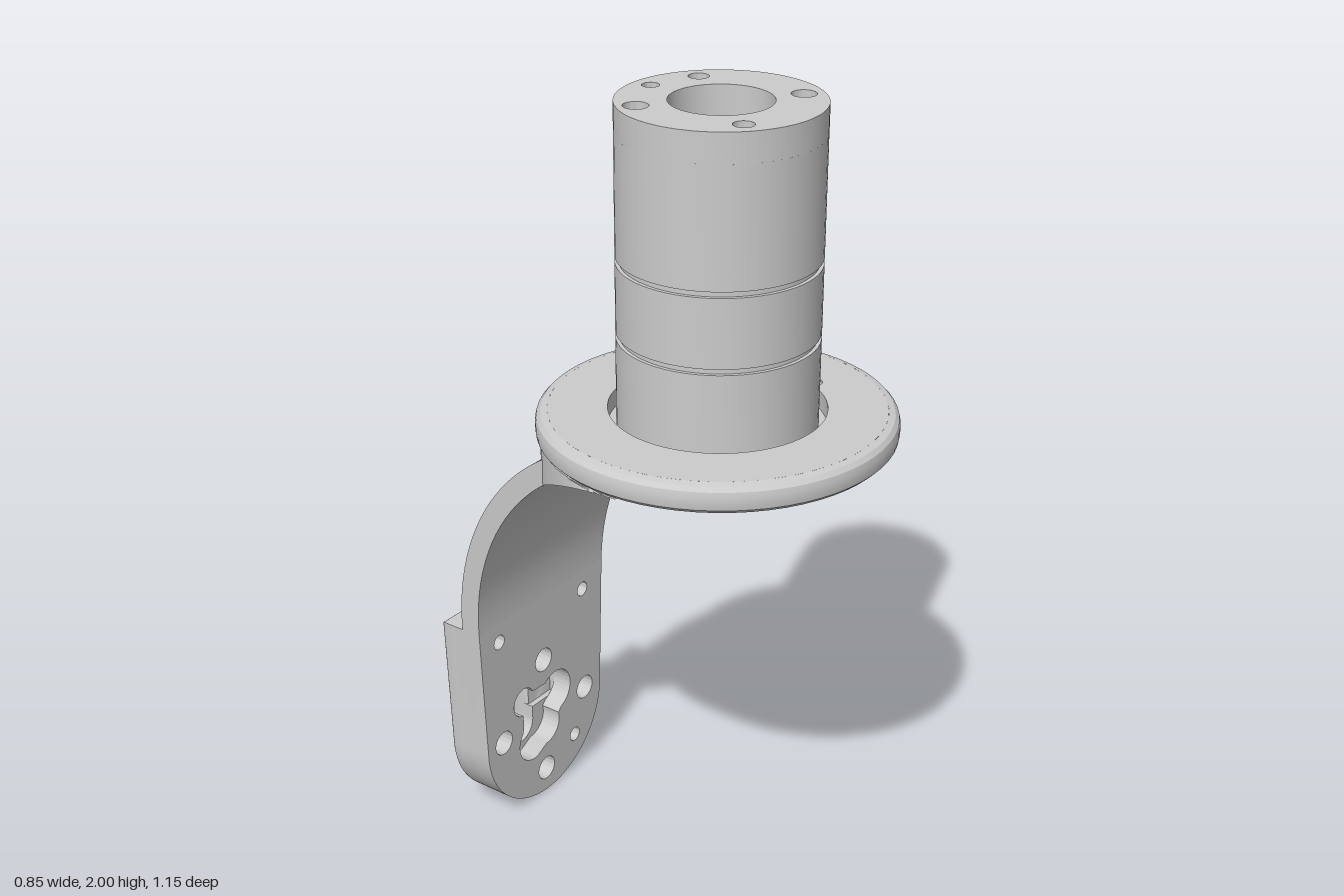
import * as THREE from 'three';
import { toCreasedNormals } from 'three/addons/utils/BufferGeometryUtils.js';
import { ParametricGeometry } from 'three/addons/geometries/ParametricGeometry.js';

const solid = new THREE.MeshStandardMaterial({ color: 0xcccccc });
const sheet = new THREE.MeshStandardMaterial({ color: 0xcccccc, side: THREE.DoubleSide });
const AXIS_Z = 0.15; // axis of post and flange
const CX = -0.025; // centre line of the arm
const TAU = Math.PI * 2;

function add(group, name, geometry, material = solid) {
  const mesh = new THREE.Mesh(toCreasedNormals(geometry, 0.5), material);
  mesh.name = name;
  group.add(mesh);
  return mesh;
}

function circle(x, y, r, Type = THREE.Path) {
  const p = new Type();
  p.absarc(x, y, r, 0, TAU, false);
  return p;
}

function extrude(shape, depth, options = {}) {
  return new THREE.ExtrudeGeometry(shape, { depth, bevelEnabled: false, curveSegments: 28, ...options });
}

// Extrude upwards from height y; the shape's y runs towards -z
function extrudeUp(shape, y, depth, z = 0) {
  return extrude(shape, depth).rotateX(-Math.PI / 2).translate(0, y, z);
}

const lathe = (points) =>
  new THREE.LatheGeometry(points.map(([r, y]) => new THREE.Vector2(r, y)), 64).translate(0, 0, AXIS_Z);

// Screw positions on the post: x, offset towards -z, radius
const postScrews = [[0, 0.19, 0.02], [0.12, 0.145, 0.024], [-0.145, 0.123, 0.029], [-0.12, -0.14, 0.024], [0.143, -0.12, 0.029]];

function buildPost(group) {
  // Tube with two narrow ring grooves
  const R = 0.235, r = 0.118;
  const profile = [[r, 1.225], [R, 1.225]];
  for (const y of [1.46, 1.64]) {
    profile.push([R, y - 0.007], [R - 0.009, y - 0.007], [R - 0.009, y + 0.007], [R, y + 0.007]);
  }
  profile.push([R, 1.93], [r, 1.93], [r, 1.225]);
  add(group, 'post', lathe(profile));

  // Top end with screw holes
  const cap = circle(0, 0, R, THREE.Shape);
  cap.holes.push(circle(0, 0, r), ...postScrews.map((s) => circle(...s)));
  add(group, 'postTop', extrudeUp(cap, 1.93, 0.07, AXIS_Z));
}

function buildFlange(group) {
  const R = 0.395, hx = 0.24, hy = -0.105, a = Math.atan2(hy, hx);
  // Lower layer: bore, screw holes and cable hole
  const lower = circle(0, 0, R, THREE.Shape);
  lower.holes.push(circle(0, 0, 0.113), circle(hx, hy, 0.025), ...postScrews.map(([x, y, r]) => circle(x, y, r * 1.25)));
  add(group, 'flangeBottom', extrudeUp(lower, 1.205, 0.025, AXIS_Z));

  // Upper layer: clearance round the post, widened at the cable hole
  const upper = circle(0, 0, R, THREE.Shape);
  const gap = new THREE.Path();
  gap.absarc(0, 0, 0.255, a + 0.093, a - 0.093 + TAU, false);
  gap.absarc(hx, hy, 0.025, a - 1.9, a + 1.9, false);
  upper.holes.push(gap);
  add(group, 'flangeTop', extrudeUp(upper, 1.23, 0.045, AXIS_Z));

  // Rounded rim
  add(group, 'flangeRim', lathe([[R, 1.205], [0.411, 1.208], [0.421, 1.218], [0.423, 1.23], [0.423, 1.248],
    [0.42, 1.261], [0.411, 1.271], [R, 1.275]]));
}

// Curved arm and the web that joins it to the flange
function buildArm(group) {
  const frontZ = (y) => 0.165 - 0.54 * Math.sqrt(Math.max(0, 1 - ((y - 0.6) / 0.605) ** 2));
  const backZ = (y) => 0.165 - 0.595 * Math.sqrt(Math.max(0, 1 - ((y - 0.6) / 0.66) ** 2));
  const webR = 0.412;
  const discBack = (x) => AXIS_Z - Math.sqrt(Math.max(0, webR * webR - x * x));
  const webHalf = (y) => Math.sqrt(Math.max(0, webR * webR - Math.min(0, frontZ(y) - AXIS_Z) ** 2));
  const armHalf = (y) => 0.25 + 0.045 * (y - 0.6);
  const slotR = 0.0675, slotY = 1.1375;
  const slotHalf = (y) => 0.06 + Math.sqrt(Math.max(0, slotR ** 2 - (y - slotY) ** 2));
  const none = () => 0;
  const angleOf = (y) => Math.asin(Math.min(1, (y - 0.6) / 0.605));
  const slotFloor = slotY - slotR;

  const panel = (name, fn, nu, nv) =>
    add(group, name, new ParametricGeometry((u, v, p) => p.set(...fn(u, v)), nu, nv), sheet);

  // Front, back and edge surfaces of one half between two heights
  function half(name, side, y0, y1, inner, outer, back) {
    const a0 = angleOf(y0), a1 = angleOf(y1);
    const yAt = (v) => 0.6 + 0.605 * Math.sin(a0 + (a1 - a0) * v);
    const xAt = (u, y) => THREE.MathUtils.lerp(side * inner(y), outer(y, side), u);
    panel(name + 'Front', (u, v) => { const y = yAt(v), x = xAt(u, y); return [x, y, frontZ(y)]; }, 8, 16);
    panel(name + 'Back', (u, v) => { const y = yAt(v), x = xAt(u, y); return [x, y, Math.min(frontZ(y), back(x, y))]; }, 16, 16);
    for (const edge of inner === none ? [1] : [0, 1]) {
      panel(name + (edge ? 'Side' : 'SlotWall'), (u, v) => {
        const y = yAt(v), x = xAt(edge, y), f = frontZ(y);
        return [x, y, THREE.MathUtils.lerp(f, Math.min(f, back(x, y)), u)];
      }, 2, 16);
    }
  }

  for (const side of [-1, 1]) {
    const armEdge = (y, s) => CX + s * armHalf(y);
    const webEdge = (y, s) => s * webHalf(y);
    const armBack = (x, y) => backZ(y);
    half('arm', side, 0.6, slotFloor, none, armEdge, armBack);
    half('armUpper', side, slotFloor, 1.17, slotHalf, armEdge, armBack);
    half('web', side, 0.975, slotFloor, none, webEdge, discBack);
    half('webUpper', side, slotFloor, 1.205, slotHalf, webEdge, discBack);
  }
  panel('slotFloor', (u, v) => {
    const x = -0.06 + 0.12 * u;
    return [x, slotFloor, THREE.MathUtils.lerp(frontZ(slotFloor), discBack(x), v)];
  }, 6, 1);
}

// Tapered outline with a round foot; notch points cut into the top edge
function footOutline(notch) {
  const s = new THREE.Shape();
  s.moveTo(CX + 0.25, 0.6);
  if (notch) {
    for (const [x, y] of notch) s.lineTo(x, y);
    s.absarc(-0.065, 0.2, 0.05, 0, -Math.PI, true);
    s.lineTo(-0.115, 0.6);
  }
  s.lineTo(CX - 0.25, 0.6);
  s.lineTo(CX - 0.235, 0.235);
  s.absarc(CX, 0.235, 0.235, Math.PI, TAU, false);
  return s;
}

function buildFoot(group) {
  const screws = [[-0.2, 0.545], [0.14, 0.545], [0.095, 0.11]];
  const screwHoles = (r) => screws.map(([x, y]) => circle(x, y, r));

  // Mounting plate with screw holes, round recesses and a shaped opening
  const plate = footOutline();
  const opening = new THREE.Path();
  opening.moveTo(-0.075, 0.335);
  opening.absarc(-0.113, 0.32, 0.04, 0.4, 4.6, false);
  opening.lineTo(-0.115, 0.25);
  opening.absarc(-0.075, 0.185, 0.06, 2.4, 4.9, false);
  opening.absarc(-0.025, 0.2, 0.055, -1.6, 0.3, false);
  opening.absarc(0.018, 0.287, 0.062, -1.2, 2.3, false);
  plate.holes.push(opening, ...screwHoles(0.02),
    ...[[-0.028, 0.408], [-0.197, 0.238], [0.142, 0.238], [-0.028, 0.068]].map(([x, y]) => circle(x, y, 0.033)));
  add(group, 'mountingPlate', extrude(plate, 0.055).translate(0, 0, -0.43));

  // Cover: front layer with a wide cable channel
  const inner = footOutline([[0.08, 0.6], [0.08, 0.235], [-0.015, 0.235], [-0.015, 0.2]]);
  inner.holes.push(...screwHoles(0.02));
  add(group, 'coverInner', extrude(inner, 0.03).translate(0, 0, -0.46));

  // Cover: back layer with counterbores and rounded edges
  const outer = footOutline([[-0.015, 0.6], [-0.015, 0.2]]);
  outer.holes.push(...screwHoles(0.036));
  add(group, 'coverOuter', extrude(outer, 0.03, {
    bevelEnabled: true, bevelThickness: 0.012, bevelSize: 0.01, bevelOffset: -0.01, bevelSegments: 3,
  }).translate(0, 0, -0.488));

  // Cable bulge with an open channel and a rounded lower end
  const bulge = new THREE.Shape();
  bulge.absarc(CX, 0.425, 0.15, 0.448, Math.PI - 0.448, false);
  bulge.lineTo(-0.115, 0.49);
  bulge.absellipse(-0.065, 0.49, 0.05, 0.035, Math.PI, 0, true);
  add(group, 'cableBulge', extrudeUp(bulge, 0.235, 0.365));
  add(group, 'cableBulgeEnd',
    new THREE.SphereGeometry(0.15, 32, 12, Math.PI, Math.PI, Math.PI / 2, Math.PI / 2).translate(CX, 0.235, -0.425), sheet);
}

export function createModel() {
  const model = new THREE.Group();
  model.name = 'postBracket';
  for (const [name, build] of [['postGroup', buildPost], ['flange', buildFlange], ['supportArm', buildArm], ['foot', buildFoot]]) {
    const part = new THREE.Group();
    part.name = name;
    build(part);
    model.add(part);
  }
  return model;
}
